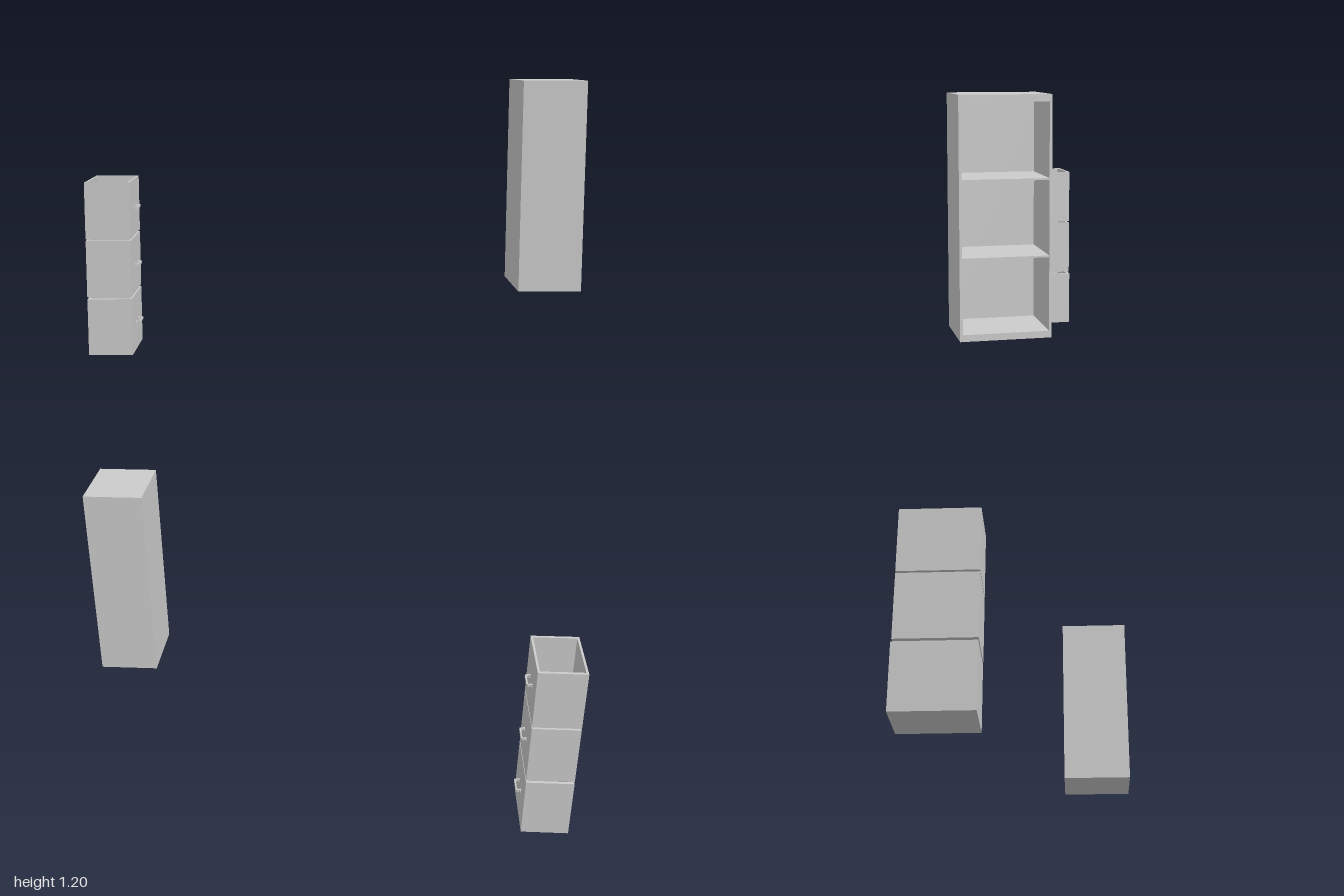
import * as THREE from 'three';

const material = new THREE.MeshStandardMaterial({ color: 0xcccccc });

// Box given by its min and max corners
function slab(name, [x0, y0, z0], [x1, y1, z1]) {
  const mesh = new THREE.Mesh(new THREE.BoxGeometry(x1 - x0, y1 - y0, z1 - z0), material);
  mesh.position.set((x0 + x1) / 2, (y0 + y1) / 2, (z0 + z1) / 2);
  mesh.name = name;
  return mesh;
}

// Rectangular frame: a w x h outline with a rectangular hole, extruded by depth along z
function frame(w, h, tx, ty, depth) {
  const rect = (path, a, b) =>
    path.moveTo(-a, -b).lineTo(a, -b).lineTo(a, b).lineTo(-a, b).closePath();
  const shape = rect(new THREE.Shape(), w / 2, h / 2);
  shape.holes.push(rect(new THREE.Path(), w / 2 - tx, h / 2 - ty));
  return new THREE.ExtrudeGeometry(shape, { depth, bevelEnabled: false });
}

// Open shelf unit, its opening towards +x
function createCabinet() {
  const g = new THREE.Group();
  g.name = 'cabinet';
  const x0 = 0.76, x1 = 1, y0 = 0.396, y1 = 1.198, z0 = 0.116, z1 = 0.423;
  const back = 0.012, side = 0.009, cap = 0.023;

  const shell = new THREE.Mesh(frame(z1 - z0, y1 - y0, side, cap, x1 - x0 - back), material);
  shell.rotation.y = Math.PI / 2;
  shell.position.set(x0 + back, (y0 + y1) / 2, (z0 + z1) / 2);
  shell.name = 'cabinetShell';
  g.add(shell, slab('cabinetBack', [x0, y0, z0], [x0 + back, y1, z1]));

  for (const y of [0.666, 0.921])
    g.add(slab('shelf', [x0 + back, y, z0 + side], [x1 - 0.001, y + 0.006, z1 - side]));
  return g;
}

// Bracket-shaped pull with flared feet, in the xz plane
function createHandle() {
  const half = [[0, 0.042], [0.004, 0.042], [0.008, 0.039], [0.017, 0.039], [0.022, 0.035]];
  const inner = [[0.016, 0.031], [0.008, 0.033], [0.004, 0.030], [0, 0.030]];
  const mirror = (pts) => pts.map(([x, z]) => [x, -z]).reverse();
  const outline = [...half, ...mirror(half), ...mirror(inner), ...inner];
  const shape = new THREE.Shape(outline.map(([x, z]) => new THREE.Vector2(x, z)));
  const geometry = new THREE.ExtrudeGeometry(shape, { depth: 0.011, bevelEnabled: false });
  geometry.translate(0, 0, -0.0055).rotateX(-Math.PI / 2);
  const mesh = new THREE.Mesh(geometry, material);
  mesh.name = 'handle';
  return mesh;
}

// Open-topped drawer with its front panel and handle towards +x
function createDrawer(y0, y1, z0, z1) {
  const g = new THREE.Group();
  g.name = 'drawer';
  const x0 = -1, x1 = -0.809, floor = 0.01;

  const walls = new THREE.Mesh(frame(x1 - x0, z1 - z0, 0.009, 0.013, y1 - y0 - floor), material);
  walls.rotation.x = -Math.PI / 2;
  walls.position.set((x0 + x1) / 2, y0 + floor, (z0 + z1) / 2);
  walls.name = 'drawerWalls';
  g.add(walls, slab('drawerFloor', [x0, y0, z0], [x1, y0 + floor, z1]));

  const handle = createHandle();
  handle.position.set(x1, (y0 + y1) / 2 + 0.001, -0.278);
  g.add(handle);
  return g;
}

export function createModel() {
  const model = new THREE.Group();
  model.name = 'cabinetWithDrawers';
  model.add(createCabinet());
  // Stack of three drawers
  const stack = [[0, 0.248, -0.423, -0.136], [0.257, 0.503, -0.42, -0.135], [0.51, 0.755, -0.42, -0.135]];
  for (const d of stack) model.add(createDrawer(...d));
  return model;
}
